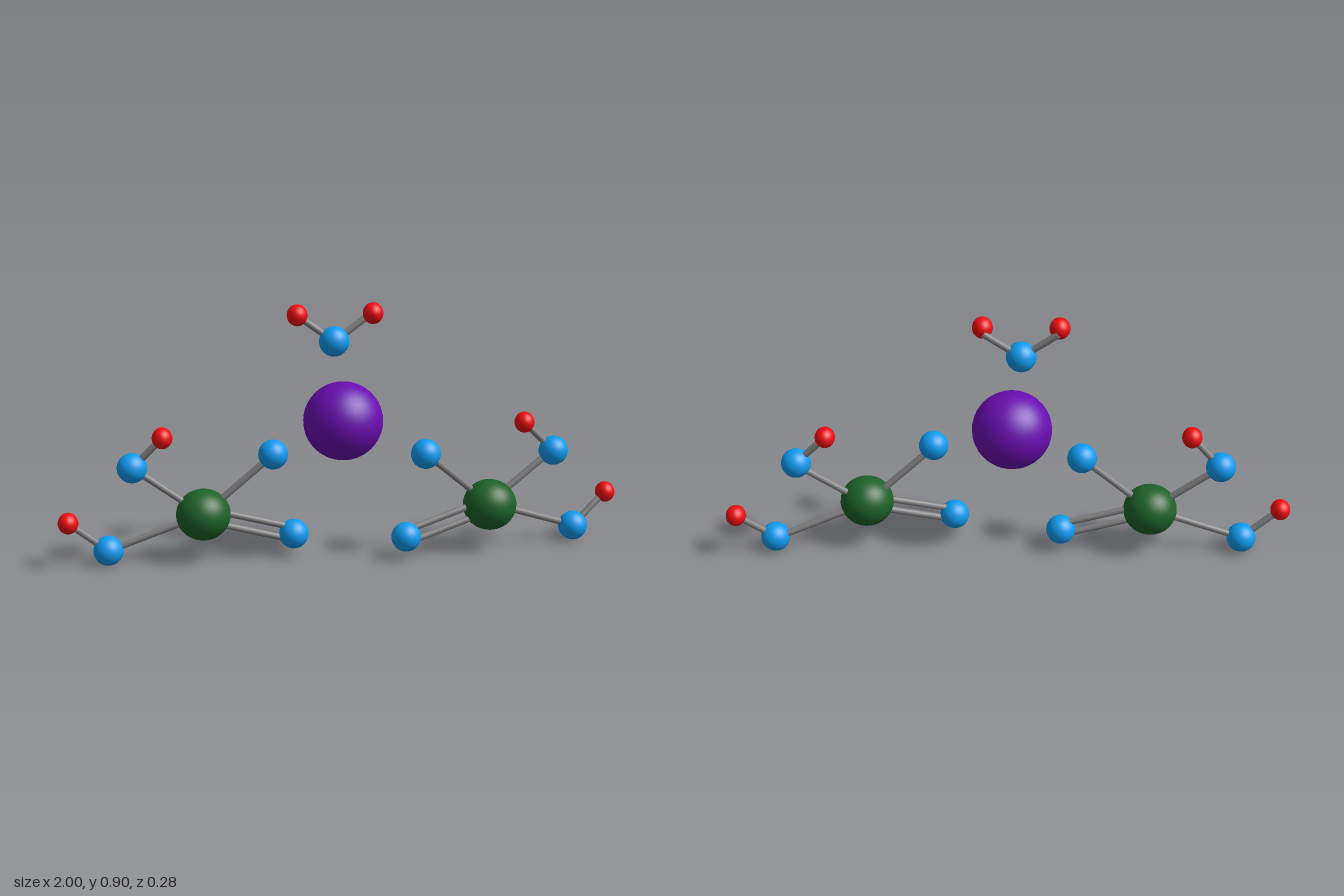
import * as THREE from 'three';

const paint = (color) => new THREE.MeshStandardMaterial({ color });

export function createModel() {
  const model = new THREE.Group();
  model.name = 'moleculeModel';

  // Atom kinds: colour and radii along x, y, z
  const kinds = {
    metalAtom: { material: paint(0x6a0db0), radii: [0.139, 0.137, 0.136] },
    centralAtom: { material: paint(0x1d6228), radii: [0.095, 0.09, 0.092] },
    oxygenAtom: { material: paint(0x0f9bf0), radii: [0.052, 0.052, 0.052] },
    hydrogenAtom: { material: paint(0xee0c10), radii: [0.035, 0.037, 0.039] },
  };
  const bondMaterial = paint(0x808080);
  const sphere = new THREE.SphereGeometry(1, 32, 20);
  const rod = new THREE.CylinderGeometry(0.012, 0.012, 1, 16);
  const up = new THREE.Vector3(0, 1, 0);

  function atom(parent, kind, position) {
    const mesh = new THREE.Mesh(sphere, kinds[kind].material);
    mesh.name = kind;
    mesh.position.set(...position);
    mesh.scale.set(...kinds[kind].radii);
    parent.add(mesh);
  }

  // Rod between two points, optionally shifted sideways in the xy plane
  function bond(parent, from, to, shift = 0, name = 'bond') {
    const a = new THREE.Vector3(...from);
    const b = new THREE.Vector3(...to);
    const dir = b.clone().sub(a);
    const side = new THREE.Vector3(-dir.y, dir.x, 0).normalize().multiplyScalar(shift);
    const mesh = new THREE.Mesh(rod, bondMaterial);
    mesh.name = name;
    mesh.position.copy(a).add(b).multiplyScalar(0.5).add(side);
    mesh.scale.y = dir.length();
    mesh.quaternion.setFromUnitVectors(up, dir.normalize());
    parent.add(mesh);
  }

  // Acid group: four oxygens round a centre, two of them carrying hydrogen
  function acid(name, p) {
    const group = new THREE.Group();
    group.name = name;
    atom(group, 'centralAtom', p.centre);
    [p.innerUpper, p.innerLower, p.outerUpper, p.outerLower].forEach((q) => atom(group, 'oxygenAtom', q));
    [p.hydrogenUpper, p.hydrogenLower].forEach((q) => atom(group, 'hydrogenAtom', q));
    [p.innerUpper, p.outerUpper, p.outerLower].forEach((q) => {
      const lag = p.lag;
      bond(group, [p.centre[0], p.centre[1], p.centre[2] - lag], [q[0], q[1], q[2] - lag * 0.7]);
    });
    for (const s of [-1, 1]) bond(group, p.centre, p.innerLower, s * 0.022, 'doubleBond');
    bond(group, p.outerUpper, p.hydrogenUpper);
    bond(group, p.outerLower, p.hydrogenLower);
    model.add(group);
  }

  acid('rightAcid', {
    centre: [-0.503, 0.17, 0.001], lag: 0,
    innerUpper: [-0.257, 0.377, 0], innerLower: [-0.187, 0.083, -0.004],
    outerUpper: [-0.743, 0.348, 0], outerLower: [-0.834, 0.055, 0.004],
    hydrogenUpper: [-0.638, 0.455, 0.019], hydrogenLower: [-0.967, 0.165, 0.018],
  });
  acid('leftAcid', {
    centre: [0.508, 0.17, 0.032], lag: 0.015,
    innerUpper: [0.267, 0.378, 0.074], innerLower: [0.198, 0.083, 0.088],
    outerUpper: [0.746, 0.348, -0.01], outerLower: [0.835, 0.055, -0.034],
    hydrogenUpper: [0.638, 0.455, -0.013], hydrogenLower: [0.963, 0.165, -0.072],
  });

  // Metal atom in the middle
  atom(model, 'metalAtom', [-0.012, 0.488, 0]);

  // Water molecule on top; its bonds meet the backs of the hydrogens
  const water = new THREE.Group();
  water.name = 'water';
  const oxygen = [-0.043, 0.77, 0.001];
  atom(water, 'oxygenAtom', oxygen);
  for (const x of [-0.172, 0.088]) {
    atom(water, 'hydrogenAtom', [x, 0.868, 0.021]);
    bond(water, oxygen, [x * 0.97, 0.86, -0.011]);
  }
  model.add(water);

  return model;
}
